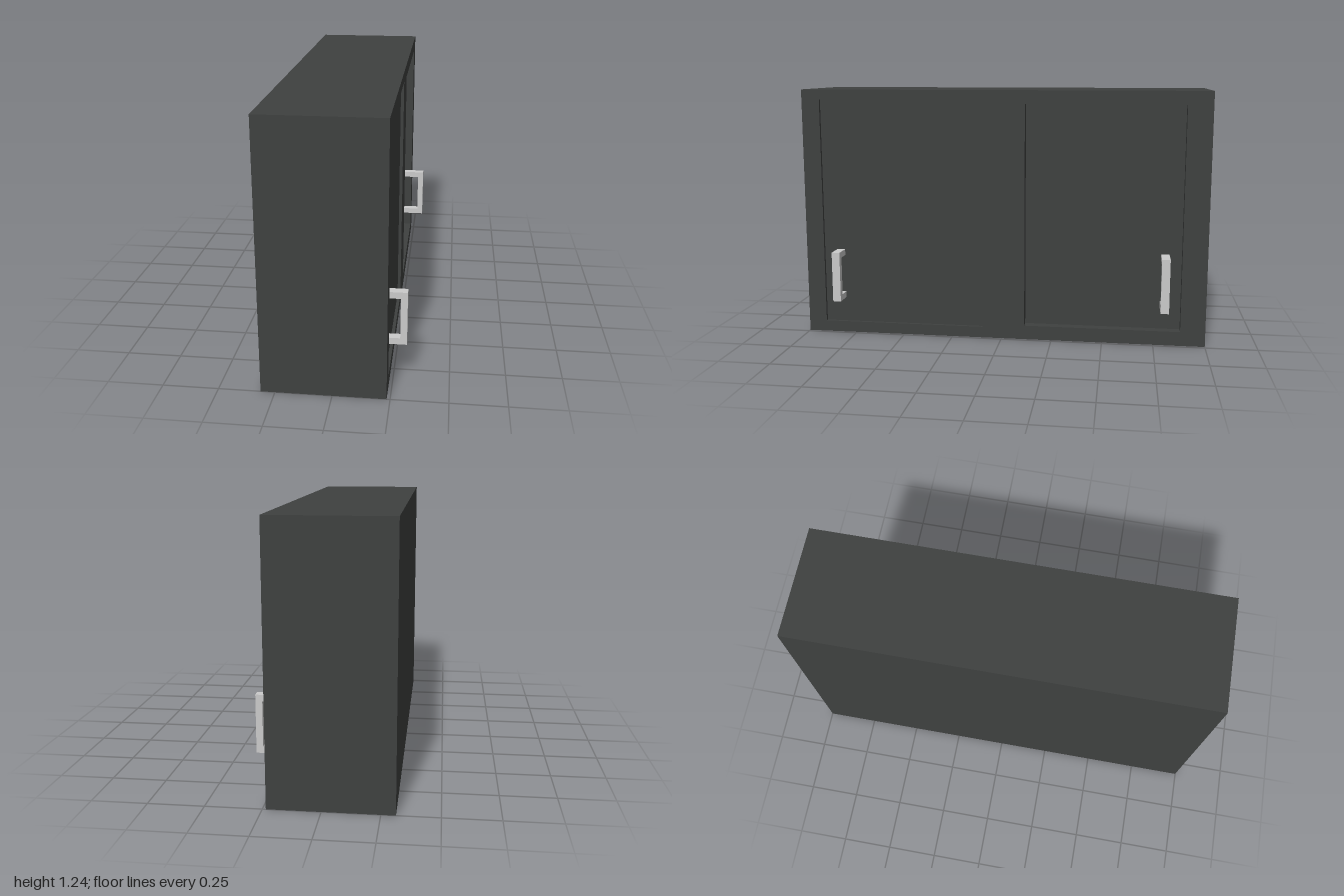
import * as THREE from 'three';

const BACK = -0.313, FACE = 0.235, HEIGHT = 1.235, DEPTH = 0.047;
const FLOOR = FACE - DEPTH;

// Each door: recess limits in z and y, depth of its recess, and its handle
const DOORS = [
  { name: 'leftDoor', z: [0.095, 0.91], y: [0.055, 1.185], floor: 0.22, handleZ: 0.825, handleTop: 0.43 },
  { name: 'rightDoor', z: [-0.88, -0.115], y: [0.07, 1.17], floor: FLOOR, handleZ: -0.8, handleTop: 0.445 },
];

// Box given by its limits on each axis
function slab(name, material, [x0, x1], [y0, y1], [z0, z1]) {
  const mesh = new THREE.Mesh(new THREE.BoxGeometry(x1 - x0, y1 - y0, z1 - z0), material);
  mesh.position.set((x0 + x1) / 2, (y0 + y1) / 2, (z0 + z1) / 2);
  mesh.name = name;
  return mesh;
}

function rectangle(PathType, u0, u1, v0, v1) {
  return new PathType([[u0, v0], [u1, v0], [u1, v1], [u0, v1]].map(([u, v]) => new THREE.Vector2(u, v)));
}

// Square-section pull: two arms joined by an upright grip
function makeHandle(material, { floor, handleZ, handleTop }) {
  const handle = new THREE.Group();
  handle.name = 'handle';
  const bottom = 0.18, t = 0.03, tip = 0.31;
  const z = [handleZ - 0.02, handleZ + 0.02];
  handle.add(
    slab('lowerArm', material, [floor, tip], [bottom, bottom + t], z),
    slab('upperArm', material, [floor, tip], [handleTop - t, handleTop], z),
    slab('grip', material, [tip - t, tip], [bottom + t, handleTop - t], z),
  );
  return handle;
}

export function createModel() {
  const dark = new THREE.MeshStandardMaterial({ color: 0x3f4140 });
  const grey = new THREE.MeshStandardMaterial({ color: 0xcccccc });
  const model = new THREE.Group();
  model.name = 'wallCabinet';

  // Solid carcass behind the door recesses
  model.add(slab('carcass', dark, [BACK, FLOOR], [0, HEIGHT], [-1, 1]));

  // Face frame with one opening per door, turned to face +x
  const outline = rectangle(THREE.Shape, -1, 1, 0, HEIGHT);
  for (const { z, y } of DOORS) outline.holes.push(rectangle(THREE.Path, -z[1], -z[0], ...y));
  const frame = new THREE.Mesh(new THREE.ExtrudeGeometry(outline, { depth: DEPTH, bevelEnabled: false }), dark);
  frame.rotation.y = Math.PI / 2;
  frame.position.x = FLOOR;
  frame.name = 'faceFrame';
  model.add(frame);

  // Door panels and handles; the deeper recess uses the carcass face as its panel
  for (const door of DOORS) {
    const group = new THREE.Group();
    group.name = door.name;
    if (door.floor > FLOOR) group.add(slab('panel', dark, [FLOOR, door.floor], door.y, door.z));
    group.add(makeHandle(grey, door));
    model.add(group);
  }
  return model;
}
